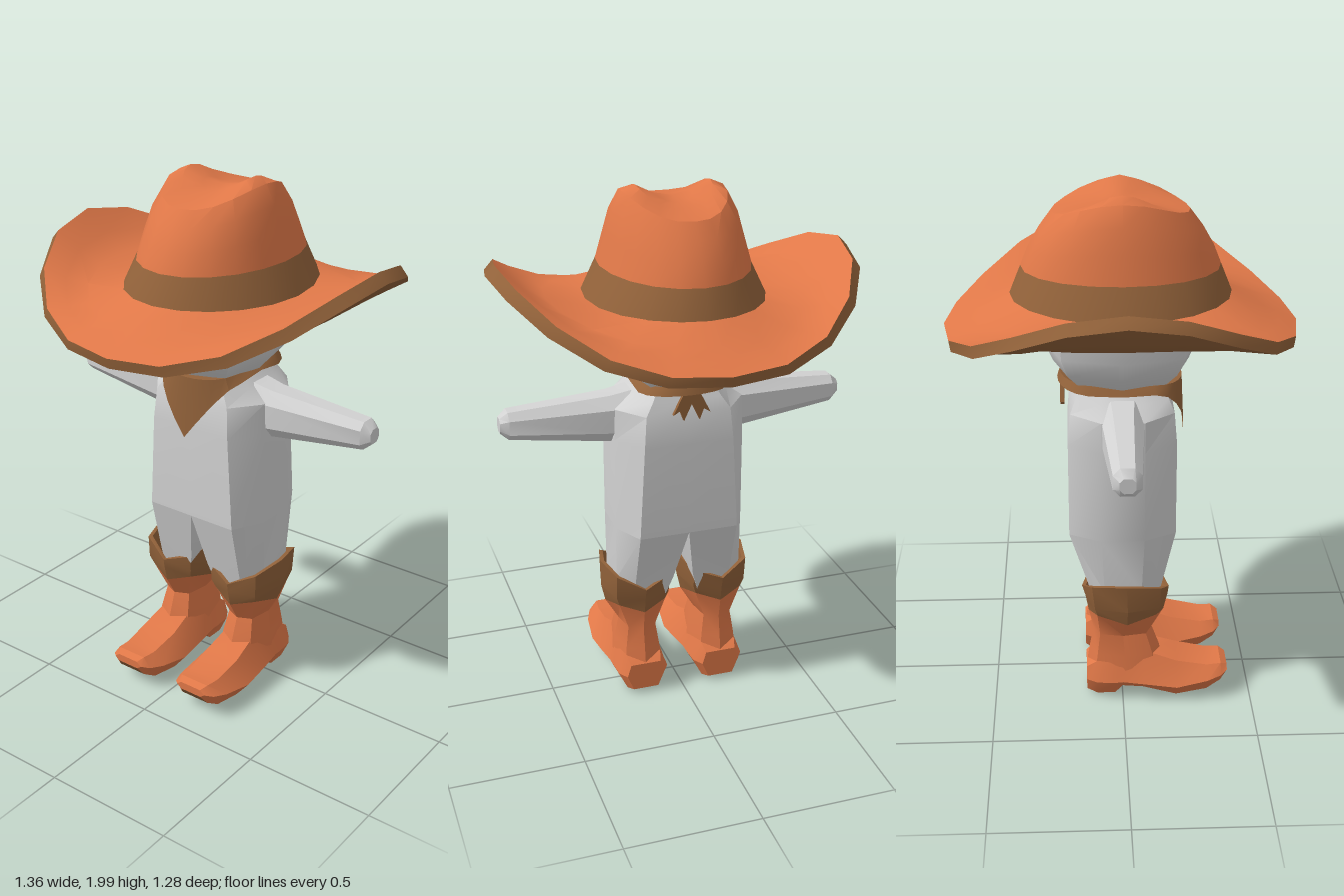
import * as THREE from 'three';
import { toCreasedNormals } from 'three/addons/utils/BufferGeometryUtils.js';

const material = (name, color, side = THREE.FrontSide) => {
  const m = new THREE.MeshStandardMaterial({ color, side });
  m.name = name;
  return m;
};

// Skin a list of cross-section rings; side = -1 mirrors it across x
function loft(rings, { closed = true, capStart = false, capEnd = false, side = 1, crease = 0.6 } = {}) {
  const n = rings[0].length, pos = [], idx = [];
  const tri = (a, b, c) => (side > 0 ? idx.push(a, b, c) : idx.push(a, c, b));
  const add = ([x, y, z]) => pos.push(x * side, y, z);
  rings.forEach(r => r.forEach(add));
  for (let r = 0; r < rings.length - 1; r++) {
    for (let i = 0; i < (closed ? n : n - 1); i++) {
      const a = r * n + i, b = r * n + (i + 1) % n;
      tri(a, b, b + n);
      tri(a, b + n, a + n);
    }
  }
  const cap = (r, flip) => {
    const c = pos.length / 3, ring = rings[r];
    add([0, 1, 2].map(k => ring.reduce((s, p) => s + p[k], 0) / n));
    for (let i = 0; i < n; i++) {
      const a = r * n + i, b = r * n + (i + 1) % n;
      flip ? tri(c, b, a) : tri(c, a, b);
    }
  };
  if (capStart) cap(0, true);
  if (capEnd) cap(rings.length - 1, false);
  const g = new THREE.BufferGeometry();
  g.setAttribute('position', new THREE.Float32BufferAttribute(pos, 3));
  g.setIndex(idx);
  return toCreasedNormals(g, crease);
}

// n points around the y axis, starting at the front
const around = (n, fn) => Array.from({ length: n }, (_, i) => {
  const a = (i / n) * Math.PI * 2;
  return fn(Math.sin(a), Math.cos(a), i);
});

// Boxy octagon
const octagon = (cx, y, rx, zFront, zBack, d = 0.78) => around(8, (s, c, i) => {
  const k = i % 2 ? d / Math.SQRT1_2 : 1, zc = (zFront + zBack) / 2, rz = (zFront - zBack) / 2;
  return [cx + s * k * rx, typeof y === 'function' ? y(s, c) : y, zc + c * k * rz];
});

export function createModel() {
  const grey = material('light grey', 0xd2d2d2);
  const orange = material('orange leather', 0xe07848);
  const brown = material('brown leather', 0x92623a, THREE.DoubleSide);

  const model = new THREE.Group();
  model.name = 'figure';
  const add = (name, geometry, mat, parent = model) => {
    const mesh = new THREE.Mesh(geometry, mat);
    mesh.name = name;
    parent.add(mesh);
  };

  // Torso
  const torsoRing = (y, xf, xs, z, zs) => [
    [0, y, z], [xf, y, z], [xs, y, zs], [xs, y, -zs], [xf, y, -z],
    [0, y, -z], [-xf, y, -z], [-xs, y, -zs], [-xs, y, zs], [-xf, y, z],
  ];
  add('torso', loft([
    torsoRing(0.72, 0.19, 0.25, 0.2, 0.08),
    torsoRing(1.08, 0.17, 0.25, 0.2, 0.08),
    torsoRing(1.2, 0.16, 0.245, 0.19, 0.08),
    torsoRing(1.245, 0.13, 0.18, 0.17, 0.08),
    torsoRing(1.3, 0.1, 0.14, 0.15, 0.07),
  ], { capEnd: true }), grey);

  // Head
  add('head', loft([
    [1.285, 0.155, 0.19], [1.35, 0.215, 0.25], [1.42, 0.24, 0.28], [1.66, 0.24, 0.28],
  ].map(([y, rx, rz]) => octagon(0, y, rx, rz, -rz)), { capStart: true, capEnd: true }), grey);

  // Neckerchief: collar that drops to a point in front
  const collar = (rx, rz, yAt) => around(24, (s, c) =>
    [rx * s, yAt(s, c), rz * Math.sign(c) * Math.sqrt(Math.abs(c))]);
  add('neckerchief', loft([
    collar(0.175, 0.235, (s, c) => c > 0
      ? Math.min(1.06 + 0.23 * Math.abs(s), 1.29 - 0.06 * c)
      : 1.27 - 0.015 * c),
    collar(0.152, 0.225, (s, c) => 1.305 - 0.01 * c),
    collar(0.12, 0.17, () => 1.295),
  ]), brown);
  const tails = new THREE.Shape([
    [-0.025, 1.3], [-0.07, 1.21], [-0.045, 1.225], [-0.03, 1.185], [0, 1.25],
    [0.03, 1.185], [0.045, 1.225], [0.07, 1.21], [0.025, 1.3],
  ].map(p => new THREE.Vector2(...p)));
  const tailGeometry = new THREE.ExtrudeGeometry(tails, { depth: 0.015, bevelEnabled: false });
  tailGeometry.translate(0, 0, -0.225);
  add('neckerchiefTails', tailGeometry, brown);

  for (const side of [1, -1]) {
    const label = side > 0 ? 'left' : 'right';

    // Arm with bevelled tip
    const armRing = (x, top, bottom, w) => {
      const m = (top + bottom) / 2, h = (top - bottom) / 2;
      return [[1, 0.5], [0.5, 1], [-0.5, 1], [-1, 0.5], [-1, -0.5], [-0.5, -1], [0.5, -1], [1, -0.5]]
        .map(([a, b]) => [x, m + a * h, b * w]);
    };
    add(label + 'Arm', loft([
      armRing(0.15, 1.26, 1.04, 0.09), armRing(0.25, 1.24, 1.06, 0.075),
      armRing(0.63, 1.215, 1.11, 0.05), armRing(0.66, 1.19, 1.135, 0.028),
    ], { capEnd: true, side }), grey);

    // Leg
    const legRing = (y, xi, xf, xs, zf, zb, zs) => [
      [xi, y, zf], [xf, y, zf], [xs, y, zs], [xs, y, -zs], [xf, y, zb], [xi, y, zb],
    ];
    add(label + 'Leg', loft([
      legRing(0.42, 0.065, 0.19, 0.245, 0.13, -0.11, 0.06),
      legRing(0.5, 0.04, 0.19, 0.25, 0.15, -0.13, 0.07),
      legRing(0.72, 0, 0.19, 0.25, 0.2, -0.2, 0.08),
    ], { side }), grey);

    // Boot
    const boot = new THREE.Group();
    boot.name = label + 'Boot';
    model.add(boot);
    const cx = 0.155;
    const opts = { side, crease: 0.5 };
    const dip = (s, c) => 0.365 + 0.03 * Math.abs(s * c) * 2;
    const cuffTop = (s, c) => (c > 0 ? 0.465 : 0.475) + (s > 0 ? 0.075 : 0.045) * Math.abs(s);
    add('shaft', loft([
      octagon(cx, 0.12, 0.095, 0.16, -0.14),
      octagon(cx, 0.2, 0.085, 0.145, -0.128),
      octagon(cx, 0.285, 0.07, 0.115, -0.113),
      octagon(cx, dip, 0.118, 0.16, -0.13),
    ], opts), orange, boot);
    add('cuff', loft([
      octagon(cx, dip, 0.118, 0.16, -0.13),
      octagon(cx, 0.43, 0.133, 0.175, -0.142),
      octagon(cx, cuffTop, 0.135, 0.18, -0.155),
      octagon(cx, cuffTop, 0.12, 0.165, -0.14),
      octagon(cx, 0.4, 0.09, 0.13, -0.11),
    ], opts), brown, boot);

    // Foot stations from heel to toe: z, then height and half width of sole, side and top
    const stations = [
      [-0.14, 0.03, 0.05, 0.09, 0.075, 0.14, 0.06],
      [-0.1, 0.018, 0.065, 0.09, 0.1, 0.17, 0.07],
      [-0.03, 0.018, 0.065, 0.09, 0.105, 0.2, 0.07],
      [0, 0.05, 0.065, 0.095, 0.108, 0.21, 0.07],
      [0.08, 0.045, 0.068, 0.09, 0.118, 0.21, 0.06],
      [0.21, 0.008, 0.07, 0.075, 0.125, 0.165, 0.07],
      [0.33, 0.03, 0.068, 0.095, 0.112, 0.14, 0.065],
      [0.385, 0.065, 0.06, 0.105, 0.09, 0.143, 0.06],
      [0.41, 0.1, 0.045, 0.115, 0.065, 0.13, 0.045],
    ];
    add('foot', loft(stations.map(([z, yb, wb, ym, wm, yt, wt]) => [
      [cx + wb, yb, z], [cx + wm, ym, z], [cx + wt, yt, z],
      [cx - wt, yt, z], [cx - wm, ym, z], [cx - wb, yb, z],
    ]), { ...opts, closed: false, capStart: true, capEnd: true }), orange, boot);
    add('sole', loft(stations.map(([z, yb, wb]) =>
      [[cx - wb, yb, z], [cx + wb, yb, z]]), { ...opts, closed: false }), brown, boot);
  }

  // Hat: oval rings whose height differs between the sides and the front and back
  const hat = new THREE.Group();
  hat.name = 'hat';
  model.add(hat);
  const oval = ([rx, rz, ySide, yFront]) => around(20, (s, c) =>
    [rx * s, yFront + (ySide - yFront) * Math.abs(s) ** 2.8, rz * c]);
  const hatPart = (name, profile, mat, options) =>
    add(name, loft(profile.map(oval), { crease: 0.7, ...options }), mat, hat);
  const rimLow = [0.68, 0.632, 1.72, 1.46], rimHigh = [0.645, 0.64, 1.755, 1.498];
  hatPart('brimUnderside', [
    [0.2, 0.24, 1.58, 1.59], [0.32, 0.39, 1.56, 1.565], [0.48, 0.52, 1.565, 1.51],
    [0.6, 0.59, 1.645, 1.475], rimLow,
  ], brown);
  hatPart('brimEdge', [rimLow, rimHigh], brown);
  hatPart('brimTop', [
    rimHigh, [0.56, 0.575, 1.675, 1.525], [0.47, 0.51, 1.618, 1.555], [0.32, 0.395, 1.605, 1.615],
  ], orange);
  hatPart('hatBand', [[0.327, 0.4, 1.605, 1.612], [0.272, 0.358, 1.72, 1.715]], brown);
  hatPart('crown', [
    [0.272, 0.358, 1.72, 1.715], [0.245, 0.33, 1.82, 1.785], [0.222, 0.29, 1.91, 1.855],
    [0.187, 0.245, 1.98, 1.915], [0.14, 0.14, 2.0, 1.935], [0.07, 0.07, 1.965, 1.943],
  ], orange, { capEnd: true });

  return model;
}
